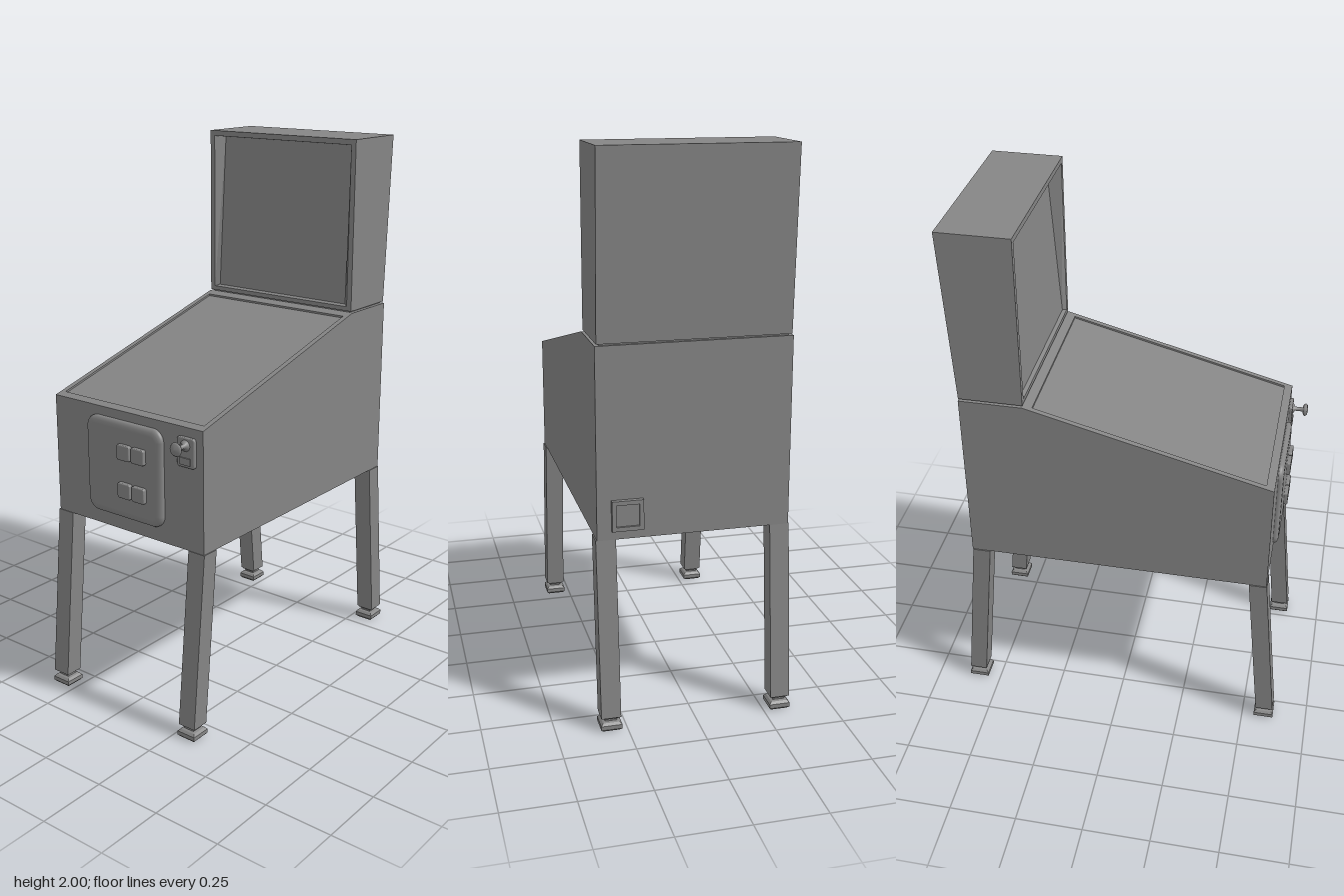
import * as THREE from 'three';
import { mergeVertices } from 'three/addons/utils/BufferGeometryUtils.js';

const mat = new THREE.MeshStandardMaterial({ color: 0x858585, flatShading: true });
const smooth = new THREE.MeshStandardMaterial({ color: 0x858585 });

function add(parent, name, geo, x = 0, y = 0, z = 0, material = mat) {
  const mesh = new THREE.Mesh(geo, material);
  mesh.name = name;
  mesh.position.set(x, y, z);
  parent.add(mesh);
  return mesh;
}

// Move every vertex of a geometry by a rule
function warp(geo, rule) {
  const p = geo.attributes.position, v = new THREE.Vector3();
  for (let i = 0; i < p.count; i++) {
    rule(v.fromBufferAttribute(p, i));
    p.setXYZ(i, v.x, v.y, v.z);
  }
  geo.computeVertexNormals();
  return geo;
}

// Share vertices so that shading blends across all faces
function soften(geo) {
  geo.deleteAttribute('normal');
  geo.deleteAttribute('uv');
  const merged = mergeVertices(geo);
  merged.computeVertexNormals();
  return merged;
}

// Side profile of [z, y] points extruded across x
function sideExtrude(points, halfWidth) {
  const shape = new THREE.Shape(points.map(([z, y]) => new THREE.Vector2(-z, y)));
  const geo = new THREE.ExtrudeGeometry(shape, { depth: halfWidth * 2, bevelEnabled: false });
  return geo.translate(0, 0, -halfWidth).rotateY(Math.PI / 2);
}

function rect(x0, y0, x1, y1, Type = THREE.Shape) {
  return new Type([[x0, y0], [x1, y0], [x1, y1], [x0, y1]].map(([x, y]) => new THREE.Vector2(x, y)));
}

// Rectangular frame, depth 0..depth along z
function frame(outer, inner, depth) {
  const shape = rect(...outer);
  shape.holes.push(rect(...inner, THREE.Path));
  return new THREE.ExtrudeGeometry(shape, { depth, bevelEnabled: false });
}

function roundedPlate(w, h, r, depth, bevel) {
  const x = w / 2 - bevel, y = h / 2 - bevel, s = new THREE.Shape();
  s.absarc(x - r, y - r, r, 0, Math.PI / 2);
  s.absarc(-x + r, y - r, r, Math.PI / 2, Math.PI);
  s.absarc(-x + r, -y + r, r, Math.PI, Math.PI * 1.5);
  s.absarc(x - r, -y + r, r, Math.PI * 1.5, Math.PI * 2);
  return new THREE.ExtrudeGeometry(s, {
    depth, bevelSize: bevel, bevelThickness: Math.min(bevel, 0.012), bevelSegments: 3, curveSegments: 5,
  });
}

export function createModel() {
  const model = new THREE.Group();
  model.name = 'arcadeTable';

  // Cabinet body with a sloped playfield sunk below its rim
  const front = 0.555, back = -0.56, hinge = -0.33, low = 1.13, high = 1.363, sink = 0.007;
  const slope = (high - low) / (front - hinge);
  add(model, 'cabinet', sideExtrude([
    [front, 0.69], [front, low - sink], [hinge, high - sink],
    [hinge, high], [back, high], [back, 0.69],
  ], 0.34));
  const rim = frame([-0.34, -front, 0.34, -hinge], [-0.32, -0.525, 0.32, 0.3], sink).rotateX(-Math.PI / 2);
  add(model, 'playfieldRim', warp(rim, v => { v.y += low - sink + (front - v.z) * slope; }));

  // Backbox on a thin shadow gap, with a tilted display panel behind a frame
  const base = 1.369;
  add(model, 'backboxGap', new THREE.BoxGeometry(0.65, 0.012, 0.21), 0, 1.366, -0.445);
  const panelZ = y => hinge - 0.012 - (y - base) * 0.065;
  add(model, 'backbox', sideExtrude([
    [panelZ(base), base], [panelZ(2), 2], [-0.59, 2], [back, base],
  ], 0.335));
  const bezel = frame([-0.335, base, 0.335, 2], [-0.315, 1.385, 0.315, 1.98], 1);
  add(model, 'displayFrame', warp(bezel, v => {
    const isRear = v.z < 0.5;
    if (isRear && Math.abs(v.x) < 0.32) {
      v.x *= 0.95;
      v.y = 1.6825 + (v.y - 1.6825) * 0.98;
    }
    v.z = isRear ? panelZ(v.y) : hinge;
  }));

  // Splayed legs with square levelling feet
  const footProfile = [[0, 0], [0.03, 0], [0.0375, 0.008], [0.0375, 0.023], [0.03, 0.031],
    [0.021, 0.034], [0.021, 0.04], [0.029, 0.046], [0.029, 0.055], [0, 0.055]]
    .map(([r, y]) => new THREE.Vector2(r * Math.SQRT2, y));
  for (const sx of [-1, 1]) {
    for (const sz of [-1, 1]) {
      const leg = new THREE.Group();
      leg.name = (sz > 0 ? 'front' : 'rear') + (sx > 0 ? 'LeftLeg' : 'RightLeg');
      model.add(leg);
      const post = new THREE.BoxGeometry(0.07, 0.64, 0.066).translate(sx * 0.309, 0.37, 0);
      add(leg, 'post', warp(post, v => { v.z += sz * (0.524 + (0.69 - v.y) * 0.096); }));
      add(leg, 'foot', new THREE.LatheGeometry(footProfile, 4, Math.PI / 4), sx * 0.308, 0, sz * 0.584);
    }
  }

  // Softly domed coin door with four buttons
  add(model, 'coinDoor', soften(roundedPlate(0.345, 0.355, 0.02, 0.008, 0.025)), -0.003, 0.92, front, smooth);
  for (const x of [0.01, 0.075]) {
    for (const y of [0.852, 0.992]) {
      add(model, 'coinButton', roundedPlate(0.058, 0.056, 0.004, 0.024, 0.004), x, y, front + 0.007);
    }
  }

  // Plunger on its plate
  add(model, 'plungerPlate', roundedPlate(0.075, 0.105, 0.006, 0.008, 0.004), 0.273, 1.045, front);
  add(model, 'plungerRecess', new THREE.BoxGeometry(0.045, 0.025, 0.006), 0.273, 1.015, front + 0.013);
  const plunger = [[0, 0], [0.02, 0], [0.02, 0.014], [0.008, 0.02], [0.008, 0.05], [0.02, 0.053],
    [0.025, 0.06], [0.02, 0.067], [0, 0.071]].map(([r, z]) => new THREE.Vector2(r, z));
  add(model, 'plunger', new THREE.LatheGeometry(plunger, 16).rotateX(Math.PI / 2), 0.273, 1.07, front, smooth);

  // Power inlet on the rear
  add(model, 'powerInletFrame', frame([-0.055, -0.054, 0.055, 0.054], [-0.04, -0.039, 0.04, 0.039], 0.02),
    0.235, 0.777, back - 0.016);
  add(model, 'powerInlet', new THREE.BoxGeometry(0.084, 0.082, 0.01), 0.235, 0.777, back - 0.003);

  return model;
}
